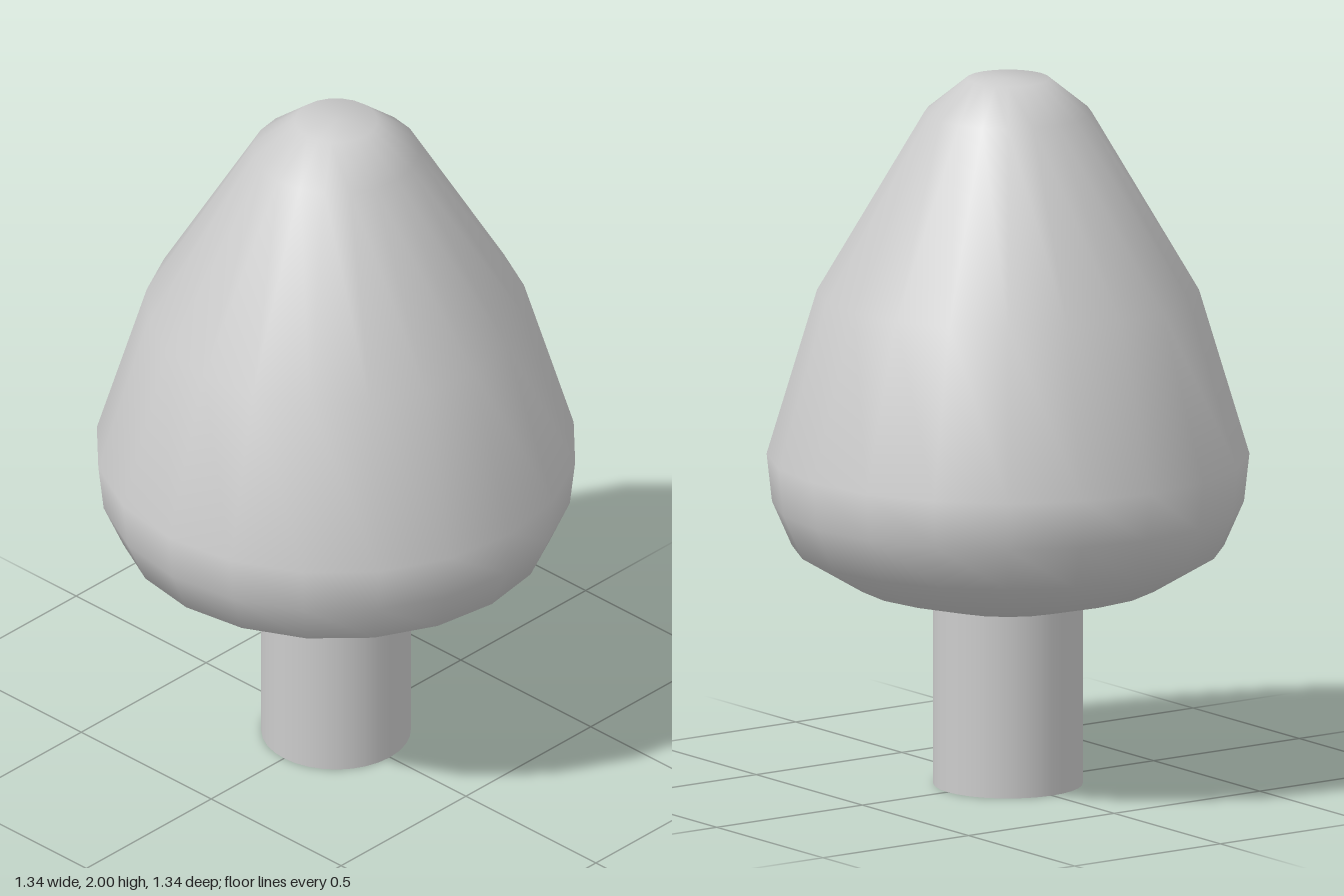
import * as THREE from 'three';

export function createModel() {
  const model = new THREE.Group();
  const material = new THREE.MeshStandardMaterial({ color: 0xcccccc });

  // Straight round trunk, reaching slightly into the crown
  const trunkHeight = 0.53;
  const trunk = new THREE.Mesh(new THREE.CylinderGeometry(0.208, 0.208, trunkHeight, 32), material);
  trunk.name = 'trunk';
  trunk.position.y = trunkHeight / 2;
  model.add(trunk);

  // Smooth-shaded crown turned from a rounded, tapering profile (radius, height)
  const profile = [
    [0, 0.515], [0.208, 0.515], [0.425, 0.57], [0.6, 0.675], [0.655, 0.8],
    [0.67, 0.935], [0.53, 1.4], [0.232, 1.905], [0.115, 2], [0, 2],
  ].map(([r, y]) => new THREE.Vector2(r, y));
  const crown = new THREE.Mesh(new THREE.LatheGeometry(profile, 20), material);
  crown.name = 'crown';
  model.add(crown);

  return model;
}
